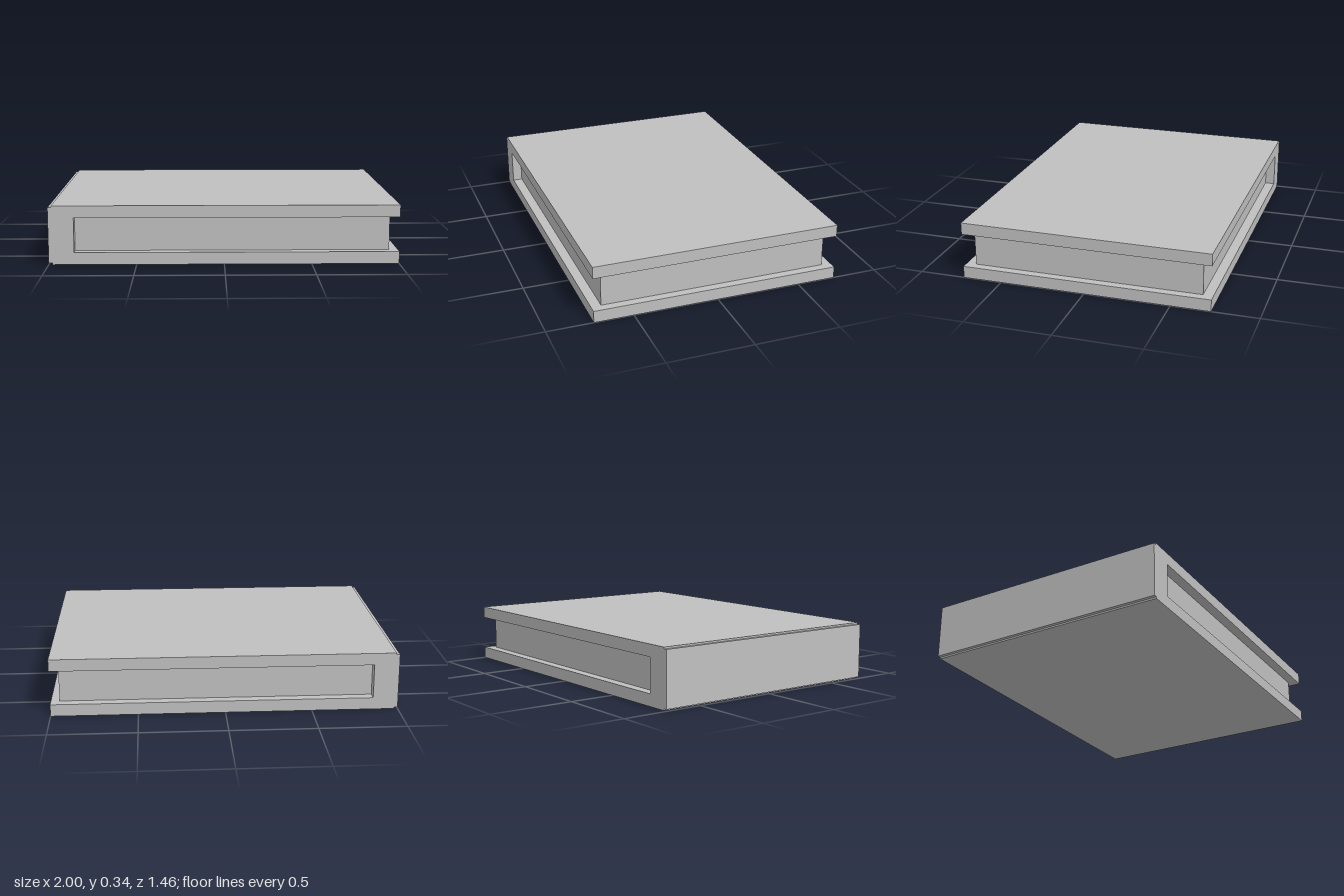
import * as THREE from 'three';

export function createModel() {
  const book = new THREE.Group();
  book.name = 'book';
  const grey = new THREE.MeshStandardMaterial({ color: 0xc0c0c0 });
  grey.name = 'light grey';

  const depth = 1.46, height = 0.34, board = 0.07;

  // Box given by its x and y limits and its depth, centred on z
  function slab(name, x0, x1, y0, y1, d) {
    const mesh = new THREE.Mesh(new THREE.BoxGeometry(x1 - x0, y1 - y0, d), grey);
    mesh.name = name;
    mesh.position.set((x0 + x1) / 2, (y0 + y1) / 2, 0);
    book.add(mesh);
  }

  // Cover boards
  slab('backCover', -0.98, 1, 0, board, depth);
  slab('frontCover', -0.98, 1, height - board, height, depth);

  // Page block, set back from the cover edges
  slab('pages', -0.86, 0.95, board, height - board, 1.345);

  // Spine: a thin outer strip with a block between the boards
  const profile = new THREE.Shape([
    [-1, 0.01], [-0.98, 0.01], [-0.98, board], [-0.855, board],
    [-0.855, height - board], [-0.98, height - board], [-0.98, 0.33], [-1, 0.33],
  ].map(([x, y]) => new THREE.Vector2(x, y)));
  const spineGeometry = new THREE.ExtrudeGeometry(profile, { depth, bevelEnabled: false });
  spineGeometry.translate(0, 0, -depth / 2);
  const spine = new THREE.Mesh(spineGeometry, grey);
  spine.name = 'spine';
  book.add(spine);

  return book;
}
